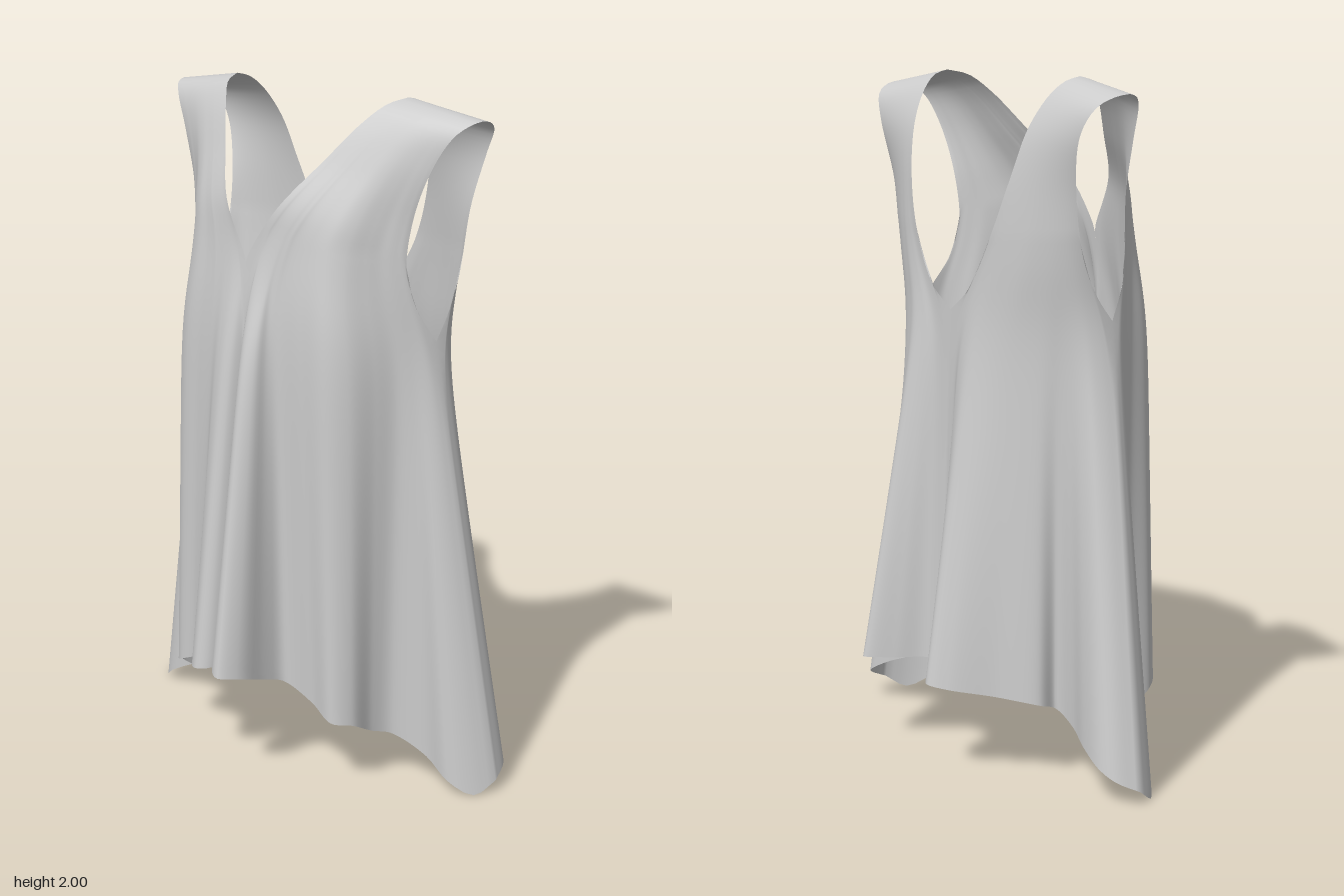
import * as THREE from 'three';
import { mergeVertices } from 'three/addons/utils/BufferGeometryUtils.js';

const COLS = 96, BODY_ROWS = 30, YOKE_ROWS = 36, ARMPIT_Y = 1.33, CHEST_Z = 0.25;

const curve = pts => new THREE.CatmullRomCurve3(pts.map(p => new THREE.Vector3(...p)));

// Quarter panels, centre to side seam: hem x, y, z, then x, z at armpit height
const frontLeft = [
  [0.025, 0.34, 0.265, 0, 0.25], [0.055, 0.35, 0.34, 0.028, 0.265], [0.04, 0.36, 0.42, 0.034, 0.29],
  [0.09, 0.35, 0.458, 0.06, 0.305], [0.13, 0.34, 0.40, 0.092, 0.29], [0.13, 0.31, 0.30, 0.106, 0.262],
  [0.145, 0.29, 0.235, 0.13, 0.245], [0.25, 0.25, 0.225, 0.21, 0.235], [0.34, 0.215, 0.238, 0.29, 0.222],
  [0.378, 0.205, 0.19, 0.345, 0.175], [0.375, 0.16, 0.10, 0.383, 0.10], [0.40, 0.14, 0.04, 0.41, 0.05],
  [0.50, 0.09, 0.005, 0.44, 0.02], [0.60, 0.04, 0.015, 0.46, -0.005], [0.66, 0.003, -0.03, 0.472, -0.02],
  [0.69, 0.04, -0.09, 0.478, -0.04],
];
const frontRight = [
  [0.025, 0.34, 0.265, 0, 0.25], [0.005, 0.34, 0.33, -0.008, 0.262], [-0.015, 0.33, 0.385, -0.018, 0.272],
  [-0.05, 0.325, 0.405, -0.04, 0.28], [-0.10, 0.315, 0.375, -0.078, 0.272], [-0.15, 0.30, 0.30, -0.12, 0.255],
  [-0.22, 0.27, 0.255, -0.19, 0.24], [-0.30, 0.235, 0.238, -0.27, 0.225], [-0.35, 0.21, 0.19, -0.335, 0.175],
  [-0.36, 0.15, 0.10, -0.37, 0.10], [-0.395, 0.13, 0.04, -0.40, 0.05], [-0.50, 0.09, 0, -0.43, 0.02],
  [-0.60, 0.04, -0.005, -0.447, -0.005], [-0.66, 0.003, -0.04, -0.458, -0.02], [-0.69, 0.04, -0.10, -0.464, -0.04],
];
const backLeft = [
  [0.02, 0.285, -0.298, 0, -0.275], [0.09, 0.282, -0.318, 0.06, -0.276], [0.14, 0.28, -0.39, 0.105, -0.282],
  [0.20, 0.28, -0.46, 0.16, -0.282], [0.245, 0.27, -0.415, 0.20, -0.272], [0.30, 0.25, -0.33, 0.265, -0.25],
  [0.37, 0.23, -0.235, 0.345, -0.205], [0.375, 0.21, -0.165, 0.392, -0.17], [0.44, 0.175, -0.155, 0.415, -0.15],
  [0.53, 0.14, -0.175, 0.44, -0.125], [0.61, 0.10, -0.19, 0.46, -0.10], [0.665, 0.07, -0.155, 0.472, -0.07],
  [0.69, 0.04, -0.09, 0.478, -0.04],
];
const backRight = [
  [0.02, 0.285, -0.298, 0, -0.275], [-0.03, 0.282, -0.315, -0.035, -0.277], [-0.085, 0.28, -0.405, -0.075, -0.282],
  [-0.15, 0.28, -0.46, -0.125, -0.282], [-0.20, 0.27, -0.425, -0.175, -0.274], [-0.28, 0.25, -0.315, -0.26, -0.248],
  [-0.37, 0.23, -0.22, -0.34, -0.20], [-0.365, 0.21, -0.16, -0.383, -0.17], [-0.44, 0.175, -0.155, -0.405, -0.15],
  [-0.53, 0.14, -0.18, -0.43, -0.125], [-0.61, 0.10, -0.185, -0.447, -0.10], [-0.655, 0.07, -0.16, -0.458, -0.07],
  [-0.69, 0.04, -0.10, -0.464, -0.04],
];

// Neck edges (V in front, U behind) and armhole edges, bottom to shoulder;
// fade sets how quickly the bulge of the chest flattens towards the strap
const front = {
  fade: 2,
  neck: curve([[0, ARMPIT_Y, 0.25], [0, 1.45, 0.245], [0, 1.525, 0.238], [0.008, 1.55, 0.236],
    [0.1, 1.69, 0.215], [0.2, 1.83, 0.125], [0.275, 1.935, 0.052], [0.32, 1.985, 0], [0.345, 2, -0.06]]),
  armhole: curve([[0.478, ARMPIT_Y, -0.04], [0.45, 1.43, 0.015], [0.43, 1.53, 0.035], [0.445, 1.68, 0.028],
    [0.5, 1.83, 0.012], [0.555, 1.92, -0.012], [0.59, 1.953, -0.045], [0.6, 1.96, -0.075]]),
};
const back = {
  fade: 3.3,
  neck: curve([[0, ARMPIT_Y, -0.275], [0.1, 1.4, -0.276], [0.2, 1.56, -0.265], [0.265, 1.73, -0.238],
    [0.298, 1.86, -0.203], [0.325, 1.95, -0.15], [0.34, 1.988, -0.105], [0.345, 2, -0.06]]),
  armhole: curve([[0.478, ARMPIT_Y, -0.04], [0.475, 1.4, -0.09], [0.475, 1.5, -0.135], [0.485, 1.7, -0.17],
    [0.525, 1.85, -0.185], [0.57, 1.925, -0.162], [0.593, 1.953, -0.115], [0.6, 1.96, -0.075]]),
};

// Points of one quarter panel, row by row from hem to shoulder
function panelRows(points, edges, side) {
  const hem = curve(points.map(p => [p[0], p[1], p[2]]));
  const ring = curve(points.map(p => [p[3], ARMPIT_Y, p[4]]));
  const ringStart = ring.getPoint(0), ringEnd = ring.getPoint(1);
  const onEdge = (edge, t) => {
    const p = edge.getPointAt(t);
    p.x = Math.max(0, p.x) * side;
    return p;
  };
  const rows = [];
  for (let j = 0; j <= BODY_ROWS + YOKE_ROWS; j++) {
    const t = Math.max(0, j - BODY_ROWS) / YOKE_ROWS;
    const drop = Math.max(0, BODY_ROWS - j) / BODY_ROWS;
    const neck = onEdge(edges.neck, t), arm = onEdge(edges.armhole, t);
    rows.push(Array.from({ length: COLS + 1 }, (_, i) => {
      const u = i / COLS, k = ring.getUtoTmapping(u);
      // Yoke: straight from neck to armhole plus the chest bulge;
      // the centre folds die out just above the armpit line
      const chest = ring.getPoint(k);
      chest.z -= Math.max(0, chest.z - CHEST_Z) * THREE.MathUtils.smoothstep(t, 0, 0.24);
      const bulge = chest.sub(ringStart.clone().lerp(ringEnd, u));
      const p = neck.clone().lerp(arm, u).addScaledVector(bulge, (1 - t) ** edges.fade);
      // Body: falls from the armpit line to the folded hem
      return drop > 0 ? p.lerp(hem.getPoint(k), drop) : p;
    }));
  }
  return rows;
}

// Relaxes the columns where body and yoke meet, leaving the seams and edges in place
function softenJoin(rows) {
  for (let pass = 0; pass < 24; pass++) {
    for (let j = BODY_ROWS - 8; j <= BODY_ROWS + 12; j++) {
      for (let i = 1; i < COLS; i++) {
        const middle = rows[j - 1][i].clone().lerp(rows[j + 1][i], 0.5);
        rows[j][i].lerp(middle, 0.5);
      }
    }
  }
}

function addPanel(points, edges, side, flip, positions, indices) {
  const rows = panelRows(points, edges, side);
  softenJoin(rows);
  const start = positions.length / 3, stride = COLS + 1;
  rows.forEach((row, j) => row.forEach((p, i) => {
    positions.push(p.x, p.y, p.z);
    if (i === COLS || j === rows.length - 1) return;
    const a = start + j * stride + i, b = a + 1, c = b + stride, d = a + stride;
    indices.push(...(flip ? [a, d, b, b, d, c] : [a, b, d, b, c, d]));
  }));
}

export function createModel() {
  const group = new THREE.Group();
  group.name = 'sleevelessTop';

  const positions = [], indices = [];
  addPanel(frontLeft, front, 1, false, positions, indices);
  addPanel(frontRight, front, -0.97, true, positions, indices);
  addPanel(backLeft, back, 1, true, positions, indices);
  addPanel(backRight, back, -0.97, false, positions, indices);

  // Weld the seams so the cloth shades smoothly
  let geometry = new THREE.BufferGeometry();
  geometry.setAttribute('position', new THREE.Float32BufferAttribute(positions, 3));
  geometry.setIndex(indices);
  geometry = mergeVertices(geometry, 1e-4);
  geometry.computeVertexNormals();

  const cloth = new THREE.Mesh(geometry,
    new THREE.MeshStandardMaterial({ color: 0xcccccc, side: THREE.DoubleSide }));
  cloth.name = 'drapedCloth';
  group.add(cloth);
  return group;
}
